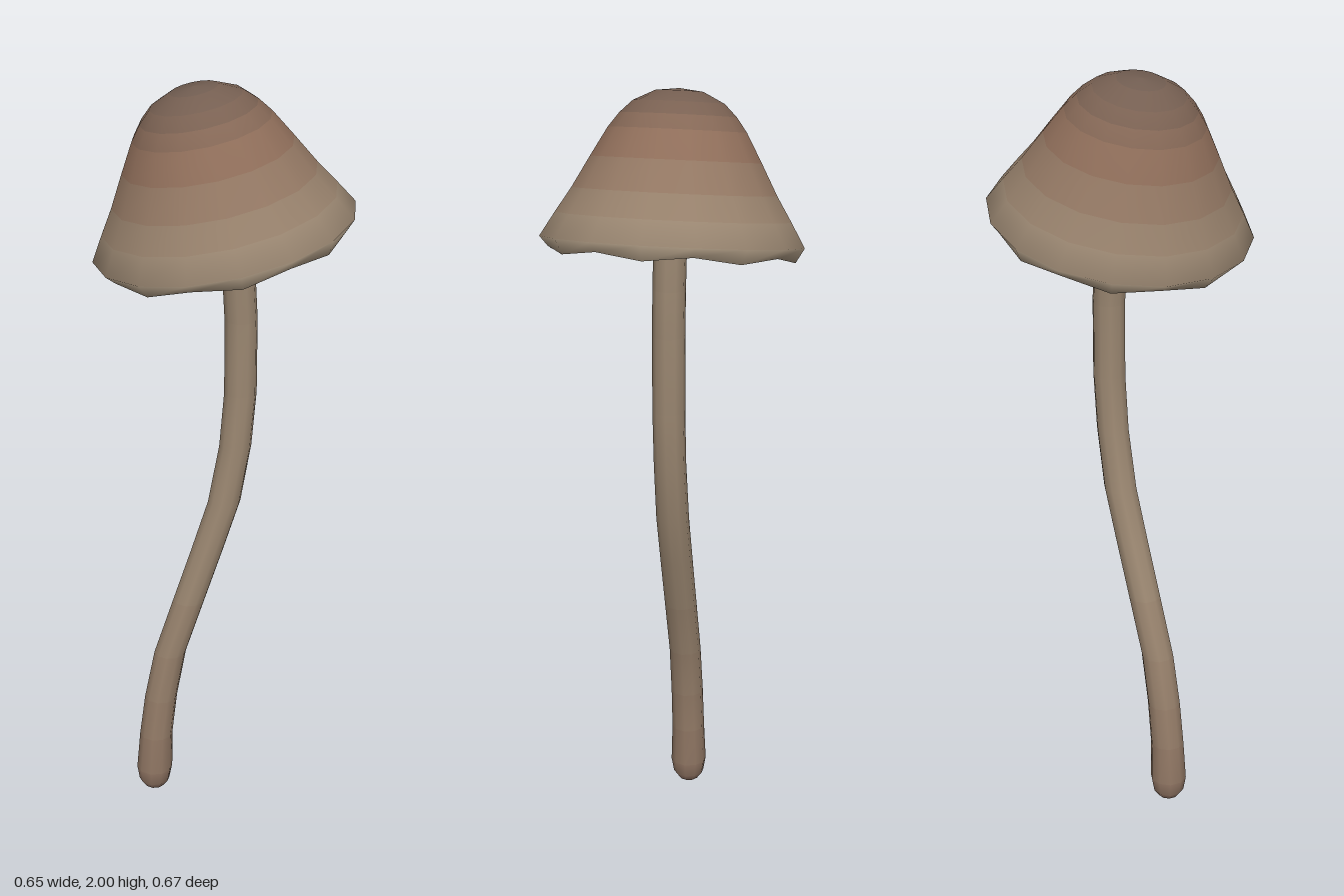
import * as THREE from 'three';

// Rings of [radius, height] swept round y, bent by a rule, and split into
// bands that share smooth normals so the colour can fade from band to band.
function loft(name, rings, sides, colors, bend) {
  const pos = [], all = [], bands = [];
  rings.forEach(([r, h], j) => {
    for (let k = 0; k < sides; k++) {
      const t = (k / sides) * Math.PI * 2;
      const p = bend(new THREE.Vector3(r * Math.cos(t), h, r * Math.sin(t)), t, j);
      pos.push(p.x, p.y, p.z);
    }
    if (j === 0) return;
    const band = [];
    for (let k = 0; k < sides; k++) {
      const a = (j - 1) * sides + k, b = (j - 1) * sides + (k + 1) % sides;
      const c = a + sides, d = b + sides;
      if (rings[j - 1][0] > 0) band.push(a, c, b);
      if (r > 0) band.push(b, c, d);
    }
    bands.push(band);
    all.push(...band);
  });
  const whole = new THREE.BufferGeometry();
  whole.setAttribute('position', new THREE.Float32BufferAttribute(pos, 3));
  whole.setIndex(all);
  whole.computeVertexNormals();

  const group = new THREE.Group();
  group.name = name;
  bands.forEach((band, i) => {
    const geo = new THREE.BufferGeometry();
    geo.setAttribute('position', whole.attributes.position);
    geo.setAttribute('normal', whole.attributes.normal);
    geo.setIndex(band);
    const f = (i / (bands.length - 1)) * (colors.length - 1);
    const n = Math.min(Math.floor(f), colors.length - 2);
    const color = new THREE.Color(colors[n]).lerp(new THREE.Color(colors[n + 1]), f - n);
    const mesh = new THREE.Mesh(geo, new THREE.MeshStandardMaterial({ color }));
    mesh.name = `${name}Band${i + 1}`;
    group.add(mesh);
  });
  return group;
}

export function createModel() {
  const model = new THREE.Group();
  model.name = 'mushroom';

  // Cap: a bell with a slightly wavy rim, tilted to one side
  const cap = new THREE.Group();
  cap.name = 'cap';
  cap.position.set(0, 1.633, 0);
  cap.rotation.z = 0.2;
  const wavyRim = (p, t) => {
    if (Math.hypot(p.x, p.z) > 0.3 && p.y < 0) p.y -= 0.007 * Math.cos(8 * t);
    return p;
  };
  const bell = [[0.312, -0.03], [0.333, 0], [0.297, 0.06], [0.258, 0.122], [0.215, 0.2], [0.174, 0.272],
    [0.147, 0.308], [0.115, 0.339], [0.06, 0.366], [0, 0.373]];
  cap.add(loft('bell', bell, 16, [0x9c8b76, 0x96806b, 0x8f6e5a, 0x7a6152, 0x705c50], wavyRim));

  // Shallow hollow underside
  const under = [[0, 0.04], [0.08, 0.038], [0.17, 0.028], [0.25, 0.008], [0.312, -0.03]];
  cap.add(loft('underside', under, 16, [0x6f6255, 0x85776a], wavyRim));
  model.add(cap);

  // Stem: [radius, height, sideways offset], with a rounded foot
  const stem = [[0, 0.002, -0.197], [0.027, 0.01, -0.197], [0.042, 0.03, -0.197], [0.049, 0.07, -0.196],
    [0.045, 0.18, -0.19], [0.044, 0.3, -0.175], [0.043, 0.44, -0.148], [0.043, 0.6, -0.095],
    [0.043, 0.75, -0.045], [0.043, 0.89, 0], [0.042, 1.05, 0.029], [0.042, 1.2, 0.042],
    [0.042, 1.4, 0.043], [0.042, 1.52, 0.037], [0.042, 1.62, 0.027], [0.042, 1.7, 0.014]];
  model.add(loft('stem', stem, 10, [0x86685a, 0x947b67, 0x9c8872, 0x9c8872, 0x96836e],
    (p, t, j) => {
      p.x += stem[j][2];
      return p;
    }));

  return model;
}
